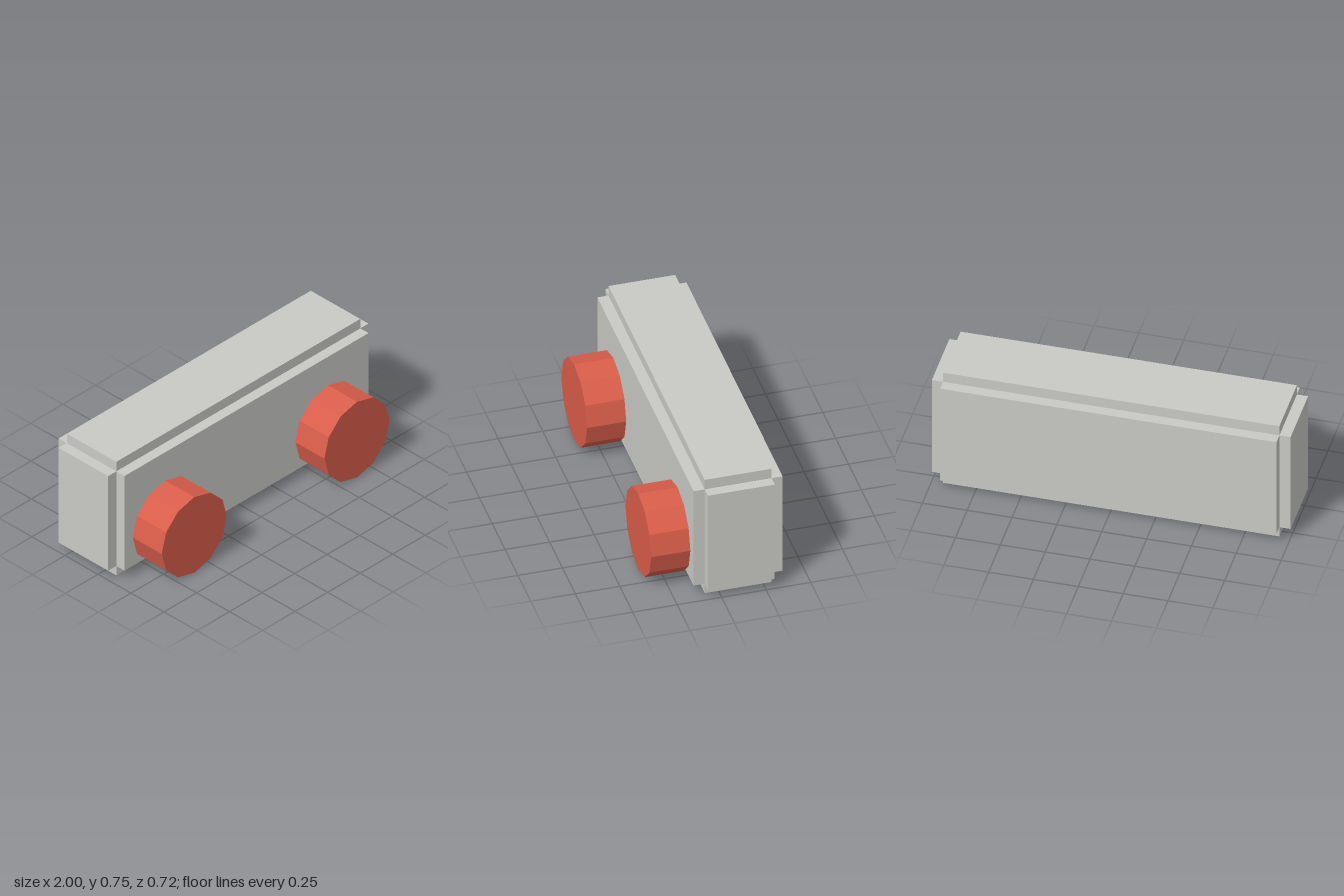
import * as THREE from 'three';

export function createModel() {
  const model = new THREE.Group();
  const grey = new THREE.MeshStandardMaterial({ name: 'bodyGrey', color: 0xc9c9c5, flatShading: true });
  const red = new THREE.MeshStandardMaterial({ name: 'wheelRed', color: 0xd95d4a, flatShading: true });

  // Stepped body: three crossing blocks leave a notch along every edge
  const body = new THREE.Group();
  body.name = 'body';
  body.position.set(0, 0.375, -0.11);
  const blocks = [
    ['tallBlock', 1.875, 0.75, 0.375],
    ['deepBlock', 1.875, 0.625, 0.5],
    ['wideBlock', 2, 0.625, 0.375],
  ];
  for (const [name, w, h, d] of blocks) {
    const block = new THREE.Mesh(new THREE.BoxGeometry(w, h, d), grey);
    block.name = name;
    body.add(block);
  }
  model.add(body);

  // Twelve-sided wheels on the front, set into the body
  const front = 0.36, back = 0;
  const wheelGeometry = new THREE.CylinderGeometry(0.25, 0.25, front - back, 12);
  wheelGeometry.rotateX(Math.PI / 2);
  for (const side of [1, -1]) {
    const wheel = new THREE.Mesh(wheelGeometry, red);
    wheel.name = side > 0 ? 'leftWheel' : 'rightWheel';
    wheel.position.set(side * 0.625, 0.25, (front + back) / 2);
    model.add(wheel);
  }
  return model;
}
